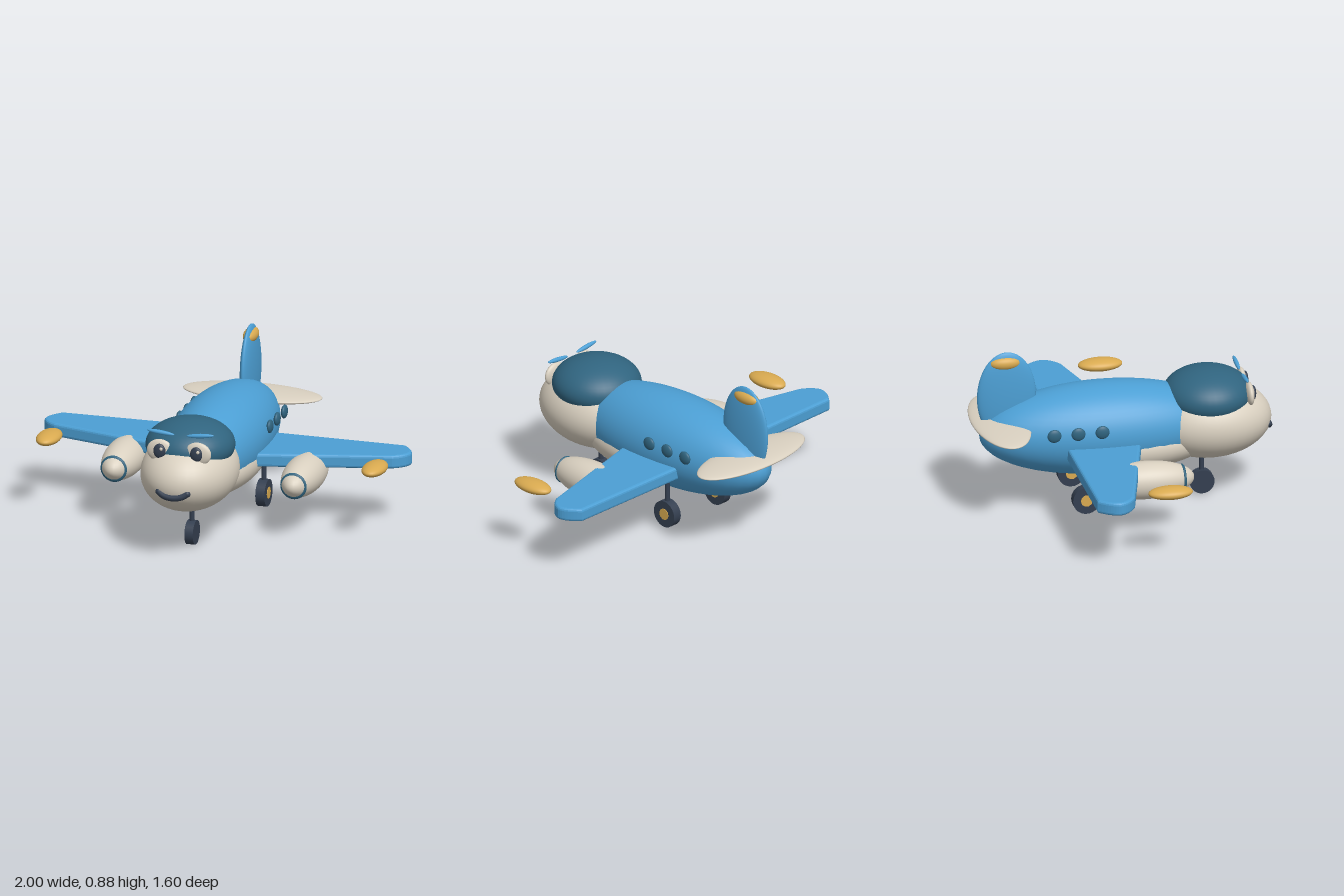
import * as THREE from 'three';

const flat = (name, color) => {
  const m = new THREE.MeshStandardMaterial({ color });
  m.name = name;
  return m;
};

export function createModel() {
  const blue = flat('sky blue', 0x4c9fd4);
  const deep = flat('deep blue', 0x30647f);
  const cream = flat('cream', 0xd9d0c0);
  const gold = flat('gold', 0xd9aa50);
  const navy = flat('dark navy', 0x343f50);

  const model = new THREE.Group();
  model.name = 'toyAirplane';
  const ball = new THREE.SphereGeometry(1, 40, 28);

  const add = (name, geometry, material, x = 0, y = 0, z = 0) => {
    const mesh = new THREE.Mesh(geometry, material);
    mesh.name = name;
    mesh.position.set(x, y, z);
    model.add(mesh);
    return mesh;
  };
  // Ellipsoid with centre p and radii r
  const egg = (name, material, p, r) => {
    const mesh = add(name, ball, material, ...p);
    mesh.scale.set(...r);
    return mesh;
  };
  // Cylinder whose axis runs along x
  const disc = (name, material, p, radius, width, sides) =>
    add(name, new THREE.CylinderGeometry(radius, radius, width, sides).rotateZ(Math.PI / 2), material, ...p);

  // Body, belly, head and cap
  egg('fuselage', blue, [0, 0.42, -0.1], [0.25, 0.245, 0.655]);
  egg('belly', cream, [0, 0.337, 0], [0.243, 0.156, 0.5]);
  egg('head', cream, [0, 0.42, 0.465], [0.252, 0.205, 0.333]);
  egg('cap', deep, [0, 0.56, 0.46], [0.235, 0.14, 0.235]);

  // Tail
  egg('tailFin', blue, [0, 0.63, -0.61], [0.035, 0.247, 0.157]);
  egg('finTip', gold, [0, 0.818, -0.617], [0.037, 0.037, 0.083]);
  egg('tailplane', cream, [0, 0.49, -0.647], [0.378, 0.027, 0.15]);

  // Smile
  const smile = new THREE.CatmullRomCurve3([
    new THREE.Vector3(-0.077, 0.388, 0.771),
    new THREE.Vector3(-0.045, 0.37, 0.78),
    new THREE.Vector3(0, 0.363, 0.784),
    new THREE.Vector3(0.045, 0.37, 0.78),
    new THREE.Vector3(0.077, 0.388, 0.771),
  ]);
  add('mouth', new THREE.TubeGeometry(smile, 24, 0.018, 12), navy);
  for (const s of [1, -1]) egg('mouthCorner', navy, [s * 0.077, 0.388, 0.771], [0.018, 0.018, 0.018]);

  // Wing outline: shape y is model -z
  const bevel = 0.015;
  const wing = new THREE.Shape();
  wing.moveTo(0, -0.09);
  wing.lineTo(0.24, -0.04);
  wing.lineTo(0.915, 0.133);
  wing.quadraticCurveTo(0.975, 0.165, 0.985, 0.21);
  wing.quadraticCurveTo(0.985, 0.25, 0.93, 0.308);
  wing.lineTo(0, 0.318);
  wing.closePath();
  const wingGeo = new THREE.ExtrudeGeometry(wing, {
    depth: 0.072 - 2 * bevel, bevelEnabled: true, bevelThickness: bevel,
    bevelSize: bevel, bevelSegments: 3, curveSegments: 8,
  }).rotateX(-Math.PI / 2);
  wingGeo.translate(0, 0.325 + bevel, 0);
  add('leftWing', wingGeo, blue);
  // Half turn about z mirrors x; the wing is symmetric about its mid height
  add('rightWing', wingGeo, blue, 0, 0.722, 0).rotation.z = Math.PI;

  for (const s of [1, -1]) {
    const side = s > 0 ? 'left' : 'right';

    // Eyes and brows
    egg(side + 'Eye', cream, [s * 0.103, 0.577, 0.663], [0.072, 0.062, 0.024]);
    egg(side + 'Pupil', navy, [s * 0.1, 0.58, 0.684], [0.033, 0.04, 0.015]);
    egg(side + 'EyeGlint', cream, [s * 0.1 + 0.012, 0.595, 0.696], [0.009, 0.009, 0.005]);
    egg(side + 'Brow', blue, [s * 0.108, 0.668, 0.638], [0.075, 0.012, 0.012]).rotation.z = s * 0.1;

    // Engines
    egg(side + 'Engine', cream, [s * 0.49, 0.302, 0.025], [0.104, 0.1, 0.262]);
    egg(side + 'EngineRing', deep, [s * 0.49, 0.3, 0.226], [0.072, 0.072, 0.018]);
    egg(side + 'EngineHub', gold, [s * 0.49, 0.3, 0.24], [0.028, 0.028, 0.015]);

    // Wing pods
    egg(side + 'WingPod', gold, [s * 0.888, 0.389, 0.077], [0.063, 0.033, 0.118]);

    // Cabin windows
    for (let i = 0; i < 3; i++) {
      egg(side + 'Window', deep, [s * 0.247, 0.486, -0.15 - i * 0.128], [0.016, 0.036, 0.037]);
    }

    // Main landing gear
    add(side + 'Strut', new THREE.CylinderGeometry(0.013, 0.013, 0.2, 14), navy, s * 0.19, 0.2, -0.227);
    disc(side + 'Wheel', navy, [s * 0.19, 0.093, -0.227], 0.073, 0.05, 28);
    disc(side + 'WheelHub', gold, [s * 0.19, 0.093, -0.227], 0.032, 0.056, 10);
  }

  // Nose gear
  add('noseStrut', new THREE.CylinderGeometry(0.013, 0.013, 0.2, 14), navy, 0, 0.18, 0.43);
  disc('noseWheel', navy, [0, 0.065, 0.43], 0.065, 0.046, 28);

  return model;
}
